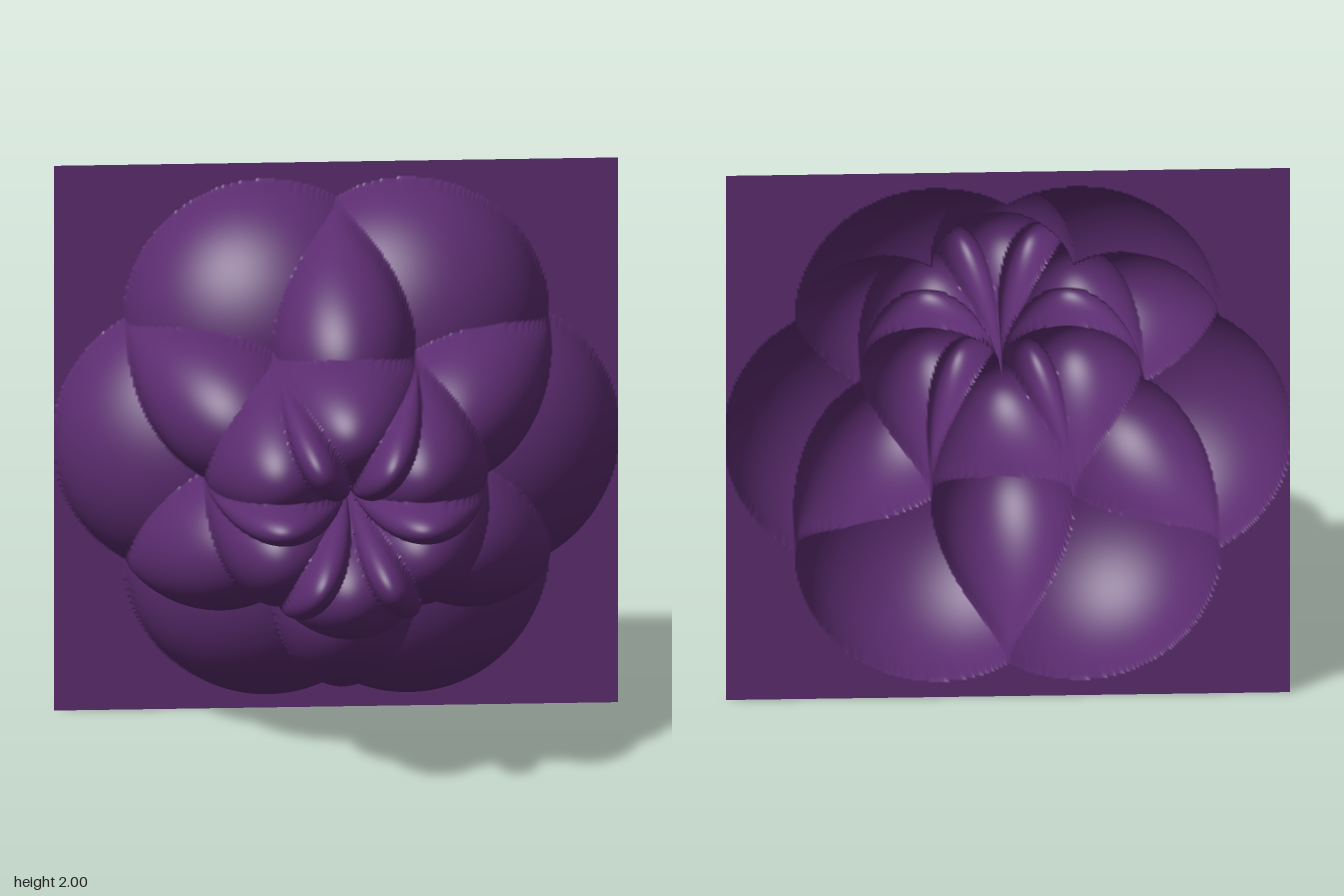
import * as THREE from 'three';

const RADIUS = 0.5;
const PEAK = 0.5 * (1 + Math.sqrt(3)); // tallest point of the summed domes
const SEGMENTS = 264;

// one dome in the middle and six around it, each passing through the middle
const centres = [new THREE.Vector2(0, 0)];
for (let i = 0; i < 6; i++) {
  const a = (i * Math.PI) / 3;
  centres.push(new THREE.Vector2(RADIUS * Math.cos(a), RADIUS * Math.sin(a)));
}

// overlapping hemispheres add their heights together
function height(x, y) {
  let h = 0;
  for (const c of centres) {
    const d2 = (x - c.x) ** 2 + (y - c.y) ** 2;
    h += Math.sqrt(Math.max(0, RADIUS * RADIUS - d2));
  }
  return h;
}

export function createModel() {
  const group = new THREE.Group();
  group.name = 'domeFlowerRelief';

  // square sheet pushed forward into the relief, hollow at the back
  const sheet = new THREE.PlaneGeometry(2, 2, SEGMENTS, SEGMENTS);
  const pos = sheet.attributes.position;
  for (let i = 0; i < pos.count; i++) {
    pos.setZ(i, height(pos.getX(i), pos.getY(i)) - PEAK / 2);
  }
  sheet.translate(0, 1, 0);
  sheet.computeVertexNormals();

  const material = new THREE.MeshStandardMaterial({ color: 0x5b2c6f, side: THREE.DoubleSide });
  const relief = new THREE.Mesh(sheet, material);
  relief.name = 'reliefSheet';
  group.add(relief);
  return group;
}
